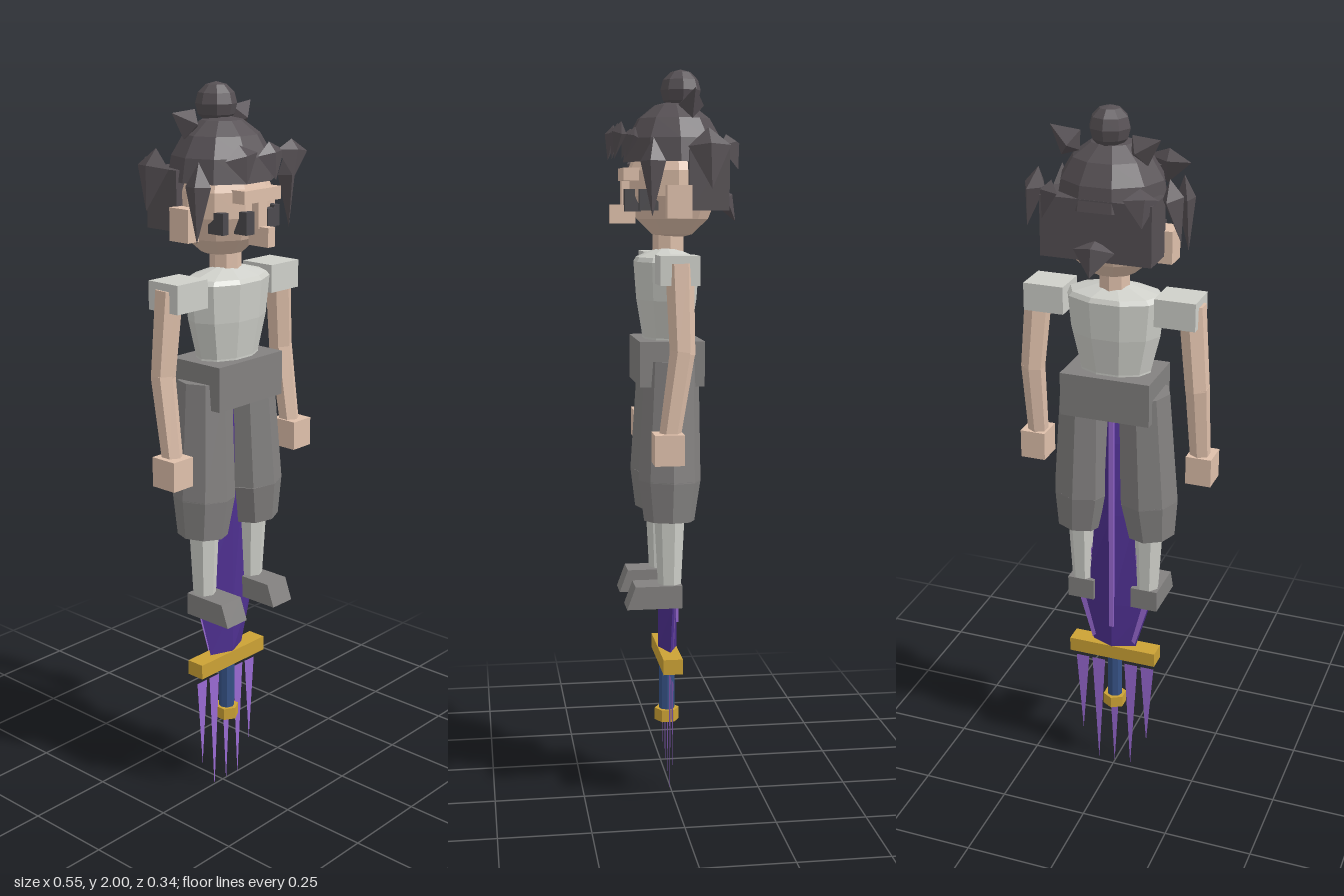
import * as THREE from 'three';

const mat = (name, color, side = THREE.FrontSide) => {
  const m = new THREE.MeshStandardMaterial({ color, side, flatShading: true });
  m.name = name;
  return m;
};

export function createModel() {
  const root = new THREE.Group();
  root.name = 'figureWithSword';
  const hair = mat('charcoal hair', 0x565054);
  const skin = mat('skin', 0xdfc0ab);
  const cloth = mat('pale cloth', 0xcfd0ca, THREE.DoubleSide);
  const grey = mat('grey cloth', 0x838180);
  const dark = mat('dark eyes', 0x4c4a4e);
  const purple = mat('deep purple', 0x4e3090);
  const lilac = mat('lilac', 0x9869d2, THREE.DoubleSide);
  const gold = mat('gold', 0xcca235);
  const blue = mat('navy grip', 0x365286);

  const add = (name, geo, material, x = 0, y = 0, z = 0) => {
    const m = new THREE.Mesh(geo, material);
    m.name = name;
    m.position.set(x, y, z);
    root.add(m);
    return m;
  };
  // Box given by its limits
  const box = (name, m, x0, x1, y0, y1, z0, z1) =>
    add(name, new THREE.BoxGeometry(Math.abs(x1 - x0), y1 - y0, z1 - z0), m,
      (x0 + x1) / 2, (y0 + y1) / 2, (z0 + z1) / 2);
  // Tapered faceted limb between two points
  const up = new THREE.Vector3(0, 1, 0);
  const limb = (name, m, a, b, r0, r1, sides) => {
    const p = new THREE.Vector3(...a), q = new THREE.Vector3(...b);
    const o = add(name, new THREE.CylinderGeometry(r1, r0, p.distanceTo(q), sides), m);
    o.position.copy(p).add(q).multiplyScalar(0.5);
    o.quaternion.setFromUnitVectors(up, q.sub(p).normalize());
  };
  // Hair tuft: a four-sided kite from a to its tip b, flattened towards the head
  const tuft = (name, a, b, r, flat, out = [a[0], 0, a[2]]) => {
    const p = new THREE.Vector3(...a), dir = new THREE.Vector3(...b).sub(p);
    const L = dir.length();
    const g = new THREE.LatheGeometry([[0, 0], [r, L * 0.3], [0, L]].map(v => new THREE.Vector2(...v)), 4);
    g.scale(1, 1, flat);
    dir.normalize();
    const side = new THREE.Vector3().crossVectors(dir, new THREE.Vector3(...out)).normalize();
    const o = add(name, g, hair, ...a);
    o.quaternion.setFromRotationMatrix(
      new THREE.Matrix4().makeBasis(side, dir, new THREE.Vector3().crossVectors(side, dir)));
  };
  // Flat plate from outline points
  const plate = (name, pts, z) =>
    add(name, new THREE.ShapeGeometry(new THREE.Shape(pts.map(v => new THREE.Vector2(...v)))), lilac, 0, 0, z);

  // Head, neck and face
  add('head', new THREE.SphereGeometry(1, 10, 7), skin, 0, 1.705, 0).scale.set(0.138, 0.148, 0.124);
  limb('neck', skin, [0, 1.5, 0.01], [0, 1.6, 0.01], 0.042, 0.042, 8);
  box('brow', skin, -0.07, 0.07, 1.712, 1.745, 0.09, 0.137);
  box('noseBridge', skin, -0.017, 0.017, 1.645, 1.715, 0.09, 0.137);
  box('nose', skin, -0.013, 0.013, 1.6, 1.65, 0.1, 0.167);
  for (const s of [-1, 1]) {
    box('ear', skin, s * 0.128, s * 0.168, 1.615, 1.7, -0.03, 0.035);
    box('eye', dark, s * 0.026, s * 0.056, 1.632, 1.69, 0.09, 0.132);
    box('eyeCorner', dark, s * 0.088, s * 0.11, 1.635, 1.69, 0.05, 0.1);
  }

  // Hair cap, back block, top knot
  add('hairCap', new THREE.SphereGeometry(1, 10, 4, 0, Math.PI * 2, 0, Math.PI / 2), hair, 0, 1.76, -0.004)
    .scale.set(0.147, 0.16, 0.137);
  box('hairBack', hair, -0.147, 0.147, 1.635, 1.79, -0.13, -0.025);
  add('topKnot', new THREE.SphereGeometry(0.054, 8, 6), hair, 0, 1.947, -0.023);

  // Fringe, side locks and loose tufts
  for (const [x, tx, r] of [[-0.1, -0.09, 0.06], [0.012, 0.02, 0.05], [0.1, 0.09, 0.06]])
    tuft('fringe', [x, 1.862, 0.145], [tx, 1.767, 0.163], r, 0.32, [0, 0, 1]);
  for (const x of [-0.045, 0.06]) tuft('fringeInner', [x, 1.85, 0.105], [x, 1.77, 0.13], 0.045, 0.4, [0, 0, 1]);
  for (const s of [-1, 1]) {
    tuft('sideLock', [s * 0.165, 1.82, 0.07], [s * 0.178, 1.62, 0.075], 0.034, 0.75);
    tuft('sideTuft', [s * 0.172, 1.845, -0.07], [s * 0.205, 1.69, -0.075], 0.055, 0.5, [s, 0, 0]);
    tuft('backTuft', [s * 0.115, 1.83, -0.125], [s * 0.13, 1.74, -0.155], 0.047, 0.5);
  }
  tuft('crownTuftRight', [-0.06, 1.885, -0.035], [-0.14, 1.93, -0.045], 0.042, 0.8, [0, 0, 1]);
  tuft('crownTuftLeft', [0.075, 1.885, -0.035], [0.152, 1.945, -0.04], 0.042, 0.8, [0, 0, 1]);
  tuft('napeTuft', [0, 1.69, -0.125], [0, 1.605, -0.172], 0.055, 0.5);

  // Shirt
  const shirt = new THREE.LatheGeometry([[0.1, 1.25], [0.1, 1.3], [0.125, 1.4], [0.136, 1.5], [0.125, 1.512],
    [0.04, 1.535], [0, 1.535]].map(p => new THREE.Vector2(...p)), 10);
  shirt.rotateY(Math.PI / 2);
  shirt.scale(1, 1, 0.645);
  add('shirt', shirt, cloth, 0, 0, 0.016);

  // Sash
  box('sash', grey, -0.125, 0.125, 1.175, 1.295, -0.07, 0.102);

  for (const s of [-1, 1]) {
    // Sleeve, arm and hand
    box('sleeve', cloth, s * 0.125, s * 0.236, 1.447, 1.522, -0.04, 0.062);
    limb('upperArm', skin, [s * 0.233, 1.27, 0.005], [s * 0.212, 1.5, 0.01], 0.033, 0.037, 6);
    limb('forearm', skin, [s * 0.236, 1.05, 0.04], [s * 0.233, 1.28, 0.005], 0.028, 0.033, 6);
    box('hand', skin, s * 0.205, s * 0.276, 0.99, 1.07, 0.005, 0.082);

    // Baggy trouser leg, shin and wedge shoe
    limb('trouserUpper', grey, [s * 0.097, 0.92, 0.02], [s * 0.084, 1.24, 0.012], 0.084, 0.072, 8);
    limb('trouserCuff', grey, [s * 0.105, 0.812, 0.022], [s * 0.097, 0.921, 0.02], 0.068, 0.084, 8);
    limb('shin', cloth, [s * 0.097, 0.63, 0.02], [s * 0.099, 0.83, 0.02], 0.032, 0.042, 7);
    const shoe = new THREE.BoxGeometry(0.078, 0.062, 0.15);
    const p = shoe.attributes.position;
    for (let i = 0; i < p.count; i++)
      if (p.getY(i) > 0 && p.getZ(i) > 0) p.setZ(i, 0.052);
    add('shoe', shoe, grey, s * 0.095, 0.606, 0.065);
  }

  // Sword blade: diamond sections rising to a point
  const bladeZ = 0.013;
  const outline = [[0.065, 0.43], [0.105, 0.57], [0.062, 0.86], [0.04, 1.08], [0.022, 1.24], [0, 1.29]];
  const pos = [], idx = [];
  outline.forEach(([w, y], i) => {
    const t = 0.026 * Math.min(1, w / 0.04);
    pos.push(w, y, 0, 0, y, t, -w, y, 0, 0, y, -t);
    if (i) for (let k = 0; k < 4; k++) {
      const a = (i - 1) * 4 + k, b = (i - 1) * 4 + (k + 1) % 4;
      idx.push(a, a + 4, b, b, a + 4, b + 4);
    }
  });
  idx.push(0, 1, 2, 0, 2, 3);
  const blade = new THREE.BufferGeometry();
  blade.setAttribute('position', new THREE.Float32BufferAttribute(pos, 3));
  blade.setIndex(idx);
  blade.computeVertexNormals();
  add('blade', blade, purple, 0, 0, bladeZ);

  // Bright ridge and edges on the back of the blade
  box('bladeRidge', lilac, -0.007, 0.007, 0.5, 1.18, bladeZ - 0.03, bladeZ - 0.022);
  for (const s of [-1, 1])
    plate('bladeEdge', [[0.065, 0.44], [0.103, 0.57], [0.078, 0.74], [0.064, 0.74], [0.085, 0.57], [0.055, 0.45]]
      .map(([x, y]) => [s * x, y]), bladeZ - 0.009);

  // Guard, grip and pommel
  box('guard', gold, -0.13, 0.13, 0.388, 0.43, -0.012, 0.041);
  limb('grip', blue, [0, 0.24, 0.015], [0, 0.4, 0.015], 0.022, 0.022, 8);
  limb('pommel', gold, [0, 0.218, 0.015], [0, 0.252, 0.015], 0.034, 0.034, 6);

  // Flat shards hanging below the guard
  for (const [x, y] of [[-0.1, 0.1], [-0.05, 0], [0, 0], [0.05, 0], [0.1, 0.1]])
    plate('shard', [[x - 0.02, 0.36], [x, y], [x + 0.02, 0.36]], bladeZ);
  return root;
}
